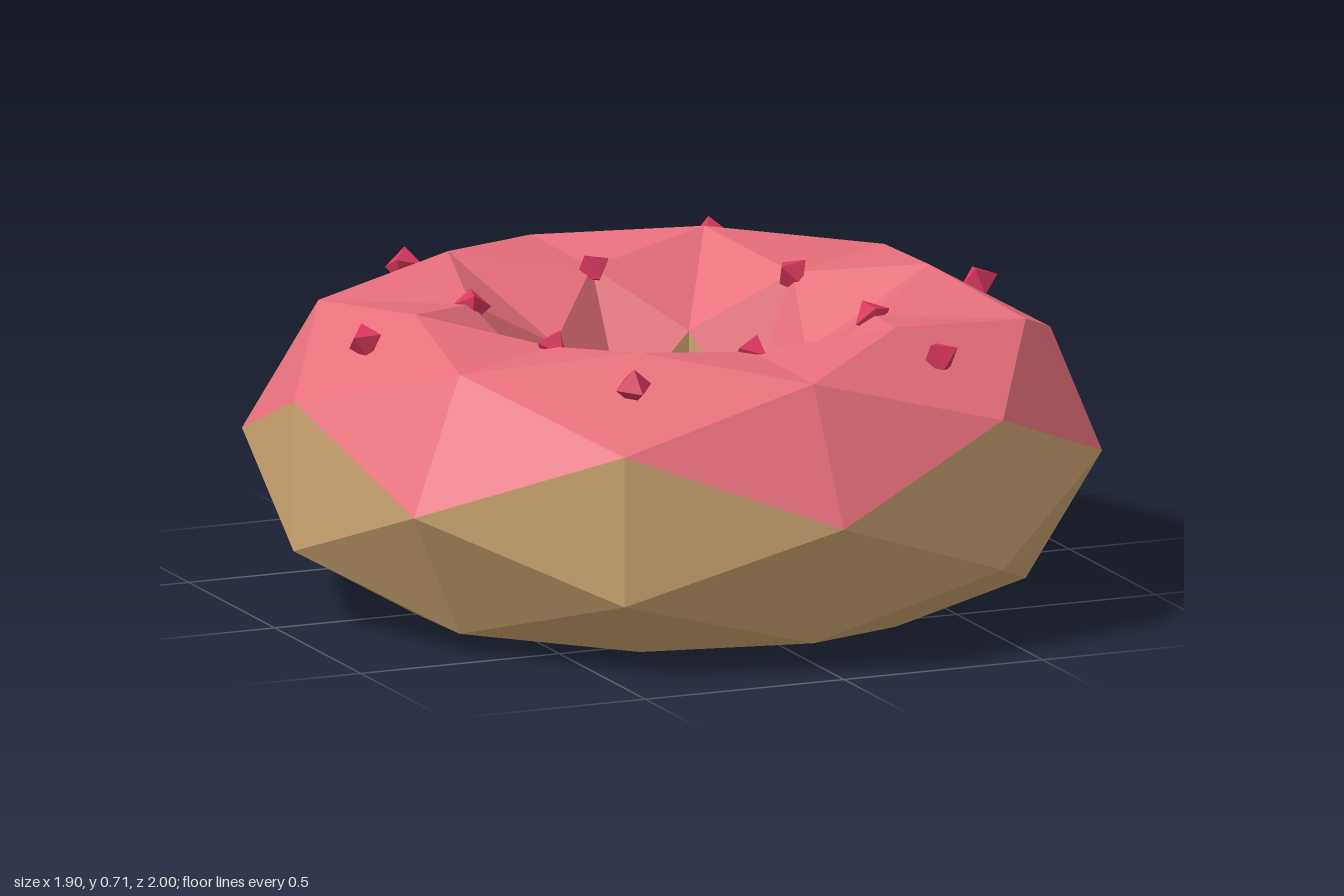
import * as THREE from 'three';

const RING_RADIUS = 0.645;
const TUBE_RADIUS = 0.355;
const STEP = Math.PI / 6;

const icingMaterial = new THREE.MeshStandardMaterial({ name: 'pink icing', color: 0xe8707c, flatShading: true });
const doughMaterial = new THREE.MeshStandardMaterial({ name: 'tan dough', color: 0xd0a772, flatShading: true });
const sprinkleMaterial = new THREE.MeshStandardMaterial({ name: 'crimson sprinkle', color: 0xd9375e, flatShading: true });

// Point on the torus: i steps around the tube, k steps around the ring
function torusPoint(i, k) {
  const r = RING_RADIUS + TUBE_RADIUS * Math.cos(i * STEP);
  return [
    r * Math.cos(k * STEP),
    TUBE_RADIUS * (1 + Math.sin(i * STEP)),
    r * Math.sin(k * STEP),
  ];
}

// Diamond facets centred on tube rows first..last, each folded along the tube
function diamondBand(first, last) {
  const positions = [];
  for (let i = first; i <= last; i++) {
    for (let k = i % 2; k < 12; k += 2) {
      const low = torusPoint(i - 1, k);
      const high = torusPoint(i + 1, k);
      positions.push(...low, ...high, ...torusPoint(i, k + 1));
      positions.push(...high, ...low, ...torusPoint(i, k - 1));
    }
  }
  const geometry = new THREE.BufferGeometry();
  geometry.setAttribute('position', new THREE.Float32BufferAttribute(positions, 3));
  geometry.computeVertexNormals();
  return geometry;
}

function addMesh(parent, name, geometry, material) {
  const mesh = new THREE.Mesh(geometry, material);
  mesh.name = name;
  parent.add(mesh);
  return mesh;
}

export function createModel() {
  const donut = new THREE.Group();
  donut.name = 'donut';

  addMesh(donut, 'icing', diamondBand(1, 5), icingMaterial);
  addMesh(donut, 'dough', diamondBand(6, 12), doughMaterial);

  // Sprinkles: an outer and an inner circle of six, each tumbled differently
  const sprinkles = new THREE.Group();
  sprinkles.name = 'sprinkles';
  donut.add(sprinkles);
  const gem = new THREE.OctahedronGeometry(0.046);
  const circles = [
    { radius: 0.772, start: 0 },
    { radius: 0.466, start: STEP },
  ];
  circles.forEach(({ radius, start }, c) => {
    for (let n = 0; n < 6; n++) {
      const angle = start + n * 2 * STEP;
      const sprinkle = addMesh(sprinkles, 'sprinkle', gem, sprinkleMaterial);
      sprinkle.position.set(radius * Math.cos(angle), 0.658, radius * Math.sin(angle));
      const turn = n + 6 * c;
      sprinkle.rotation.set(0.6 + turn * 1.7, turn * 2.3, 0.4 + turn * 0.9);
    }
  });

  return donut;
}
